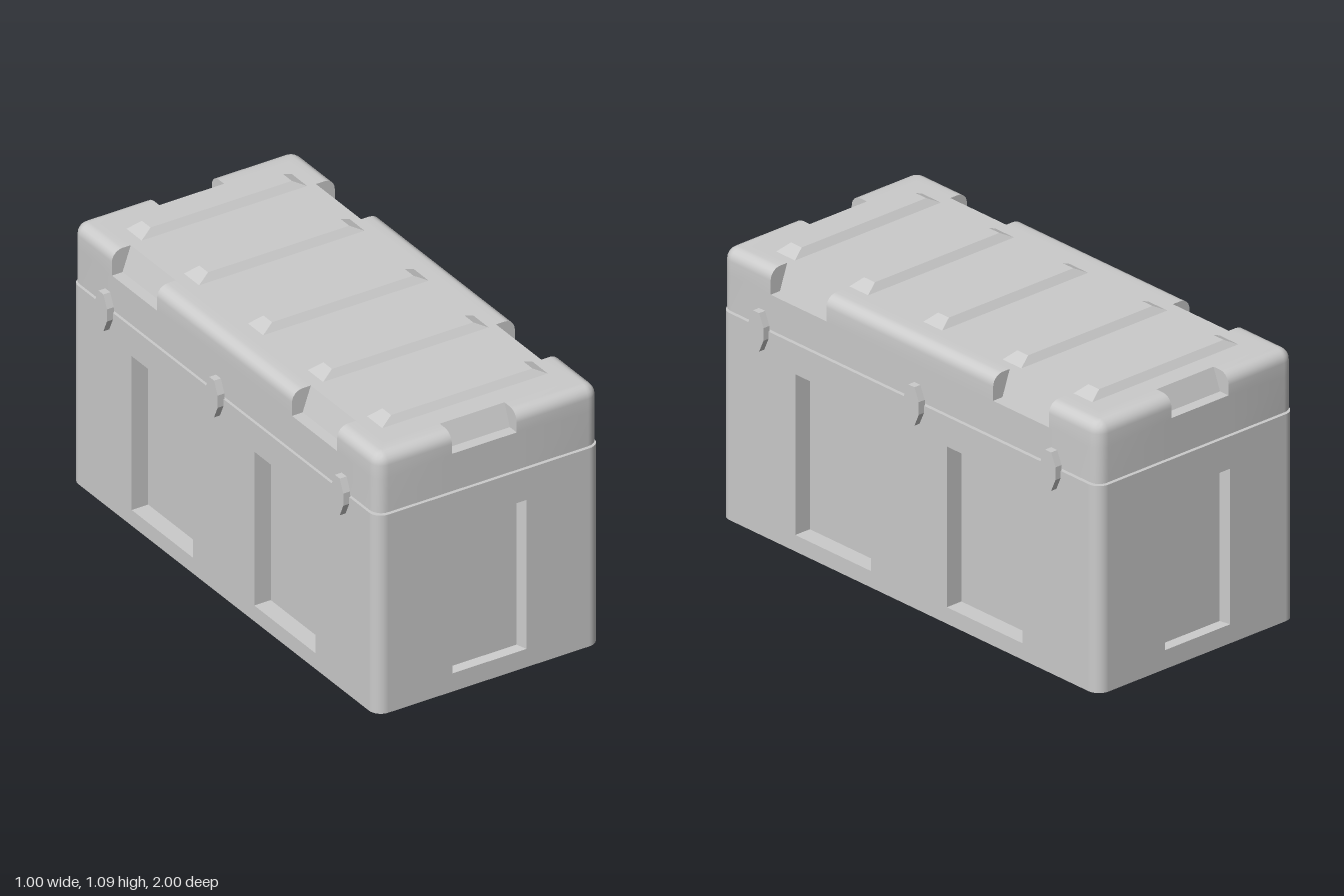
import * as THREE from 'three';
import { toCreasedNormals } from 'three/addons/utils/BufferGeometryUtils.js';

const material = new THREE.MeshStandardMaterial({ color: 0xcccccc });
const HX = 0.477, HZ = 0.998, R = 0.05, BODY_H = 0.818;

function add(parent, name, geometry, x = 0, y = 0, z = 0) {
  const mesh = new THREE.Mesh(geometry, material);
  mesh.name = name;
  mesh.position.set(x, y, z);
  parent.add(mesh);
  return mesh;
}

function fromTriangles(points) {
  const g = new THREE.BufferGeometry();
  g.setAttribute('position', new THREE.Float32BufferAttribute(points.flat(), 3));
  g.computeVertexNormals();
  return g;
}

const quad = (a, b, c, d) => [a, b, c, a, c, d];

// Four sloping sides and a floor, sunk behind z = 0
function pocketGeometry({ x0, x1, y0, y1, depth, insetX, insetY }) {
  const o = [[x0, y0, 0], [x1, y0, 0], [x1, y1, 0], [x0, y1, 0]];
  const i = o.map(([x, y], k) => [
    x + (k === 0 || k === 3 ? insetX : -insetX), y + (k < 2 ? insetY : -insetY), -depth]);
  const tris = [];
  for (let k = 0; k < 4; k++) {
    const n = (k + 1) % 4;
    tris.push(...quad(o[k], o[n], i[n], i[k]));
  }
  return fromTriangles([...tris, ...quad(...i)]);
}

// Flat wall facing +z with recessed pockets
function makeWall(name, halfWidth, pockets) {
  const wall = new THREE.Group();
  wall.name = name;
  const rect = (P, x0, x1, y0, y1) => new P([[x0, y0], [x1, y0], [x1, y1], [x0, y1]]
    .map(([x, y]) => new THREE.Vector2(x, y)));
  const shape = rect(THREE.Shape, -halfWidth, halfWidth, 0, BODY_H);
  for (const p of pockets) {
    shape.holes.push(rect(THREE.Path, p.x0, p.x1, p.y0, p.y1));
    add(wall, 'recessedPanel', pocketGeometry(p));
  }
  add(wall, 'wallFace', new THREE.ShapeGeometry(shape));
  return wall;
}

function roundedRect(hx, hz, r) {
  const s = new THREE.Shape();
  s.absarc(hx - r, hz - r, r, 0, Math.PI / 2);
  s.absarc(-hx + r, hz - r, r, Math.PI / 2, Math.PI);
  s.absarc(-hx + r, -hz + r, r, Math.PI, Math.PI * 1.5);
  s.absarc(hx - r, -hz + r, r, Math.PI * 1.5, Math.PI * 2);
  return new THREE.ShapeGeometry(s, 8);
}

function makeBody() {
  const body = new THREE.Group();
  body.name = 'body';
  const endPocket = { x0: -0.155, x1: 0.16, y0: 0.075, y1: 0.69, depth: 0.035, insetX: 0.02, insetY: 0.007 };
  const sidePocket = { y0: 0.065, y1: 0.7, depth: 0.07, insetX: 0, insetY: 0 };
  const sidePockets = [{ ...sidePocket, x0: -0.6, x1: -0.2 }, { ...sidePocket, x0: 0.2, x1: 0.6 }];
  for (let k = 0; k < 4; k++) {
    const angle = k * Math.PI / 2, end = k % 2 === 0;
    const wall = end ? makeWall('endWall', HX - R, [endPocket]) : makeWall('sideWall', HZ - R, sidePockets);
    wall.rotation.y = angle;
    wall.position.set(Math.sin(angle) * HX, 0, Math.cos(angle) * HZ);
    body.add(wall);
    // Rounded vertical corner
    add(body, 'corner', new THREE.CylinderGeometry(R, R, BODY_H, 8, 1, true, angle, Math.PI / 2),
      (k < 2 ? 1 : -1) * (HX - R), BODY_H / 2, (k === 0 || k === 3 ? 1 : -1) * (HZ - R));
  }
  add(body, 'bottom', roundedRect(HX, HZ, R)).rotation.x = Math.PI / 2;
  add(body, 'rim', roundedRect(HX, HZ, R), 0, BODY_H).rotation.x = -Math.PI / 2;
  return body;
}

// Lid: a cross-section carried round the outline, switching to a stepped one at the notches
function lidGeometry() {
  const hx = 0.473, hz = 0.995, top = 1.065, fillet = 0.045, capInset = 0.08, steps = 6;
  const profile = (notched, floor) => {
    const pts = [[0.012, 0.81], [0.012, 0.826], [0, 0.826], [0, floor]];
    for (let k = 0; k <= steps; k++) {
      const a = k / steps * Math.PI / 2, t = k / (steps + 1);
      pts.push(notched
        ? [0.045 + t * (capInset - 0.045), floor + t * (top - floor)]
        : [fillet * (1 - Math.cos(a)), top - fillet * (1 - Math.sin(a))]);
    }
    return [...pts, [capInset, top]];
  };
  const endNotch = [[-0.155, 0.12, 0.98]];
  const sideNotches = [[-0.735, -0.44, 0.965], [0.44, 0.735, 0.965]];
  const columns = [];
  for (let side = 0; side < 4; side++) {
    const end = side % 2 === 0, ang = side * Math.PI / 2;
    const along = end ? hx : hz, out = end ? hz : hx;
    // u runs along the side, v points outward
    const place = (u, v, y) => [u * Math.cos(ang) + v * Math.sin(ang), y, v * Math.cos(ang) - u * Math.sin(ang)];
    let notches = end ? endNotch : sideNotches;
    if (side === 2) notches = [[-0.12, 0.155, 0.98]];
    for (const [a, b, floor] of notches) {
      for (const [u, cut] of [[a, false], [a, true], [b, true], [b, false]]) {
        columns.push(profile(cut, floor).map(([inset, y]) => place(u, out - inset, y)));
      }
    }
    // Rounded corner after this side
    for (let k = 0; k <= 6; k++) {
      const a = k / 6 * Math.PI / 2;
      columns.push(profile(false, 0.965).map(([inset, y]) => {
        const r = Math.max(R - inset, 0), c = Math.max(R, inset);
        return place(along - c + r * Math.sin(a), out - c + r * Math.cos(a), y);
      }));
    }
  }
  const tris = [];
  columns.forEach((p, s) => {
    const q = columns[(s + 1) % columns.length], last = p.length - 1;
    for (let j = 0; j < last; j++) tris.push(...quad(p[j], q[j], q[j + 1], p[j + 1]));
    tris.push(p[last], q[last], [0, top, 0]);
  });
  return toCreasedNormals(fromTriangles(tris), 0.6);
}

// Raised rib with sloping sides
function ribGeometry() {
  const g = new THREE.BoxGeometry(0.714, 0.03, 0.104);
  const p = g.attributes.position;
  for (let i = 0; i < p.count; i++) {
    if (p.getY(i) > 0) p.setXYZ(i, p.getX(i) * 0.84, p.getY(i), p.getZ(i) * 0.54);
  }
  const flat = g.toNonIndexed();
  flat.computeVertexNormals();
  return flat;
}

// Tall eight-sided latch plate, extruded along x
function latchGeometry() {
  const pts = [[0.016, -0.076], [0.039, -0.025], [0.039, 0.025], [0.016, 0.076]];
  const outline = [...pts, ...pts.map(([x, y]) => [-x, -y])].map(([x, y]) => new THREE.Vector2(x, y));
  const g = new THREE.ExtrudeGeometry(new THREE.Shape(outline), { depth: 0.03, bevelEnabled: false });
  return g.translate(0, 0, -0.015).rotateY(Math.PI / 2);
}

export function createModel() {
  const model = new THREE.Group();
  model.name = 'storageCase';
  model.add(makeBody());

  const lid = new THREE.Group();
  lid.name = 'lid';
  model.add(lid);
  add(lid, 'lidShell', lidGeometry());
  const rib = ribGeometry();
  for (const z of [0.78, 0.394, 0.003, -0.415, -0.79]) add(lid, 'lidRib', rib, 0.008, 1.077, z);

  const latch = latchGeometry();
  for (const side of [-1, 1]) {
    for (const z of [0.78, -0.04, -0.762]) add(model, 'latch', latch, side * 0.487, 0.815, z);
  }
  return model;
}
